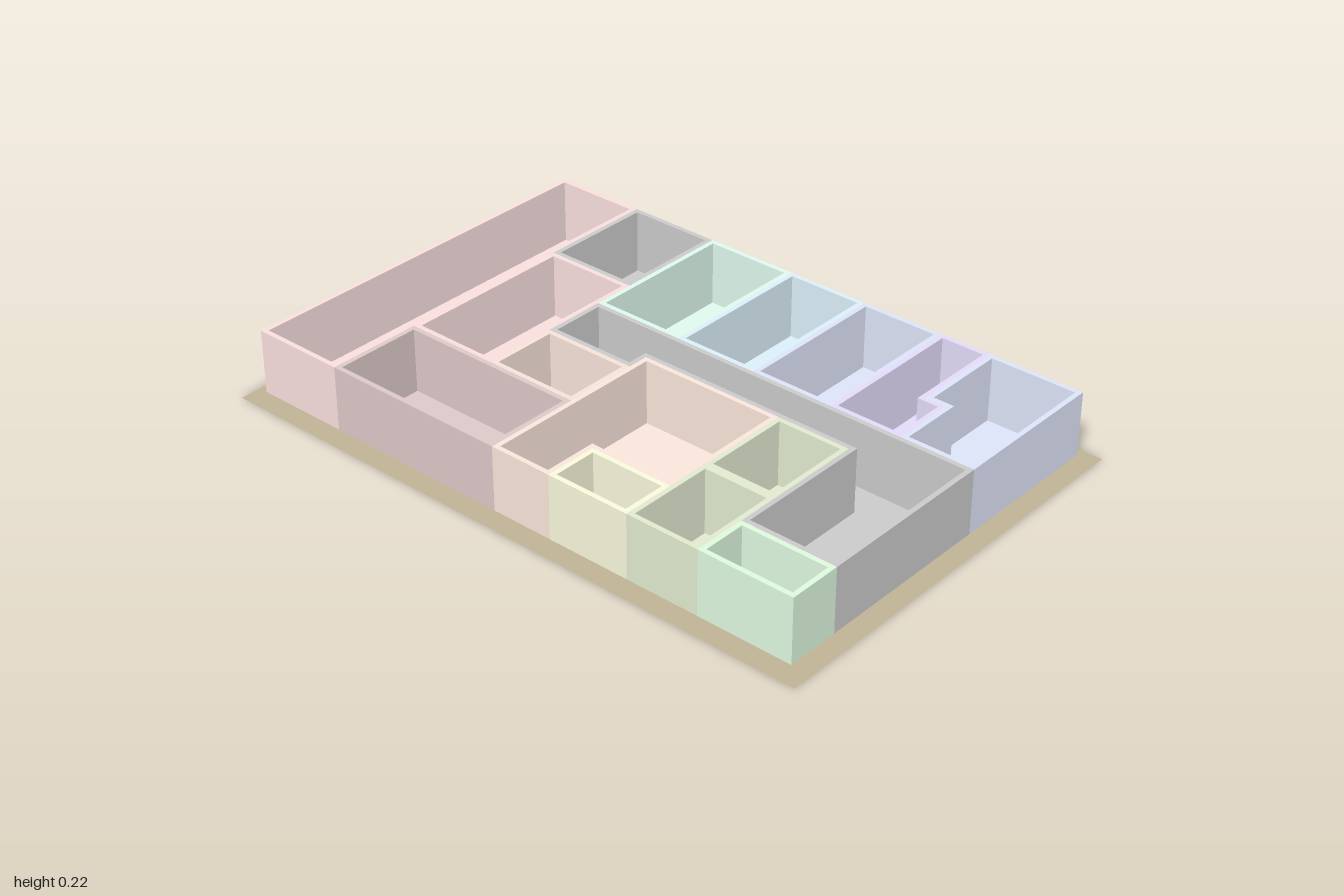
import * as THREE from 'three';

// Plan grid: outlines below are in cells of one thirtieth
const CELL = 1 / 30, FLOOR = 0.5 * CELL, TOP = 6.5 * CELL, WALL = 0.46;

const rect = (x0, x1, z0, z1) => [[x0, z0], [x1, z0], [x1, z1], [x0, z1]];

// Room outlines as [x, z] corners, clockwise seen from above
const rooms = [
  ['ward', 0xfae0df, rect(-18.5, 18.5, -28.5, -19.5)],
  ['laboratory', 0xdec9c9, rect(-18.5, -9.5, -19.5, -1.5)],
  ['wardOffice', 0xfae0df, rect(-9.5, 7.5, -19.5, -10.5)],
  ['pathologyRoom', 0xcccccc, rect(7.5, 18.5, -19.5, -10.5)],
  ['observationRoom', 0xf7e4d9, rect(-9.5, -2.5, -10.5, -1.5)],
  ['operatingRoom', 0xdffaef, rect(3.5, 18.5, -10.5, -1.5)],
  ['preparationRoom', 0xddf0fa, rect(3.5, 18.5, -1.5, 6.5)],
  ['pharmacy', 0xdfe5fa, rect(3.5, 18.5, 6.5, 14.5)],
  ['injectionRoom', 0xe4dcfa, [[3.5, 14.5], [18.5, 14.5], [18.5, 19.5],
    [9.5, 19.5], [9.5, 21.5], [3.5, 21.5]]],
  ['treatmentRoom', 0xdfe5fa, [[9.5, 19.5], [18.5, 19.5], [18.5, 28.5],
    [3.5, 28.5], [3.5, 21.5], [9.5, 21.5]]],
  ['imagingRoom', 0xfae6db, [[-18.5, -1.5], [-0.5, -1.5], [-0.5, 12.5],
    [-13.5, 12.5], [-13.5, 4.5], [-18.5, 4.5]]],
  ['examinationRoom', 0xfafadd, rect(-18.5, -13.5, 4.5, 12.5)],
  ['consultingRoom1', 0xe2ebd0, rect(-18.5, -9.5, 12.5, 19.5)],
  ['consultingRoom2', 0xe2ebd0, rect(-9.5, -0.5, 12.5, 19.5)],
  ['samplingRoom', 0xdffadf, rect(-18.5, -13.5, 19.5, 28.5)],
  ['receptionAndCorridor', 0xcccccc, [[-2.5, -10.5], [3.5, -10.5], [3.5, 28.5],
    [-13.5, 28.5], [-13.5, 19.5], [-0.5, 19.5], [-0.5, -1.5], [-2.5, -1.5]]],
];

// Moves every edge of a right-angled outline inwards by d
function inset(pts, d) {
  const n = pts.length;
  const inward = (a, b) => [-Math.sign(b[1] - a[1]) * d, Math.sign(b[0] - a[0]) * d];
  return pts.map((p, i) => {
    const u = inward(pts[(i + n - 1) % n], p), v = inward(p, pts[(i + 1) % n]);
    return [p[0] + u[0] + v[0], p[1] + u[1] + v[1]];
  });
}

const toVectors = (pts) => pts.map(([x, z]) => new THREE.Vector2(x * CELL, -z * CELL));

function addMesh(parent, name, geometry, material, y) {
  geometry.rotateX(-Math.PI / 2);
  const mesh = new THREE.Mesh(geometry, material);
  mesh.name = name;
  mesh.position.y = y;
  parent.add(mesh);
}

export function createModel() {
  const model = new THREE.Group();
  model.name = 'clinicFloorPlan';

  // Flat ground sheet below the rooms
  addMesh(model, 'groundSheet', new THREE.PlaneGeometry(40 * CELL, 60 * CELL),
    new THREE.MeshStandardMaterial({ color: 0xc0b495, side: THREE.DoubleSide }), 0);

  // Each room is a ring of walls around its own floor
  for (const [name, color, outline] of rooms) {
    const room = new THREE.Group();
    room.name = name;
    const inner = toVectors(inset(outline, WALL));
    const ring = new THREE.Shape(toVectors(outline));
    // The hole runs against the outline so the inner wall faces look into the room
    ring.holes.push(new THREE.Path([...inner].reverse()));
    addMesh(room, 'walls',
      new THREE.ExtrudeGeometry(ring, { depth: TOP - FLOOR, bevelEnabled: false }),
      new THREE.MeshStandardMaterial({ color }), FLOOR);
    addMesh(room, 'floor', new THREE.ShapeGeometry(new THREE.Shape(inner)),
      new THREE.MeshStandardMaterial({ color, side: THREE.DoubleSide }), FLOOR);
    model.add(room);
  }
  return model;
}
